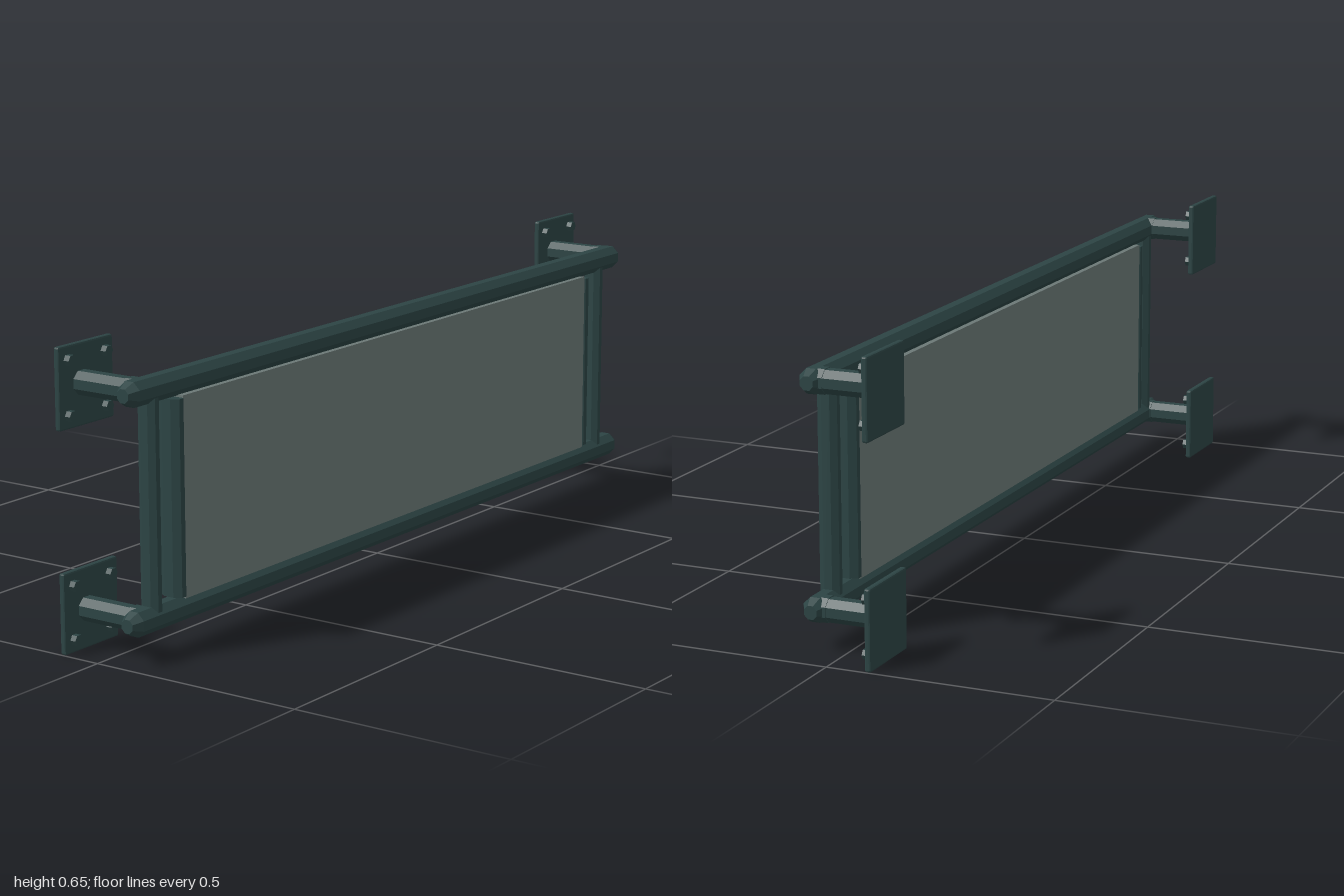
import * as THREE from 'three';
import { RoundedBoxGeometry } from 'three/addons/geometries/RoundedBoxGeometry.js';

const metal = new THREE.MeshStandardMaterial({ color: 0x2c4444, flatShading: true });
const panelMaterial = new THREE.MeshStandardMaterial({ color: 0x6b7876 });

const RAIL_X = 0.068;
const RAIL_YS = [0.0875, 0.5675];

function add(parent, name, geometry, x, y, z, material = metal) {
  const mesh = new THREE.Mesh(geometry, material);
  mesh.name = name;
  mesh.position.set(x, y, z);
  parent.add(mesh);
  return mesh;
}

// Upright eight-sided prism with flats facing the axes, wide by deep across flats
function octagon(wide, height, deep) {
  const g = new THREE.CylinderGeometry(0.5 / Math.cos(Math.PI / 8), 0.5 / Math.cos(Math.PI / 8), height, 8);
  g.rotateY(Math.PI / 8);
  return g.scale(wide, 1, deep);
}

// Eight-sided rail along z with tapered ends
function railGeometry(length, across) {
  const r = across / 2 / Math.cos(Math.PI / 8);
  const h = length / 2;
  const profile = [[0, -h], [r * 0.55, -h], [r, -h + 0.022], [r, h - 0.022], [r * 0.55, h], [0, h]]
    .map(([x, y]) => new THREE.Vector2(x, y));
  const g = new THREE.LatheGeometry(profile, 8);
  g.rotateY(Math.PI / 8);
  return g.rotateX(Math.PI / 2);
}

// Square wall plate with four bolts
function wallPlate(y, z) {
  const plate = new THREE.Group();
  plate.name = 'wallPlate';
  plate.position.set(-0.0925, y, z);
  add(plate, 'plate', new RoundedBoxGeometry(0.014, 0.175, 0.17, 1, 0.004), 0, 0, 0);
  for (const dy of [-1, 1]) {
    for (const dz of [-1, 1]) {
      const bolt = new THREE.CylinderGeometry(0.012, 0.012, 0.016, 6).rotateZ(Math.PI / 2);
      add(plate, 'bolt', bolt, 0.0125, dy * 0.058, dz * 0.058);
    }
  }
  return plate;
}

export function createModel() {
  const model = new THREE.Group();
  model.name = 'railing';

  RAIL_YS.forEach((y, i) => {
    add(model, 'rail', railGeometry(1.92, 0.053), RAIL_X, y, 0.025);

    // Arms and plates holding the rail off the wall
    for (const [armZ, plateZ] of [[0.93, 0.914], [-0.897, -0.914]]) {
      add(model, 'arm', octagon(0.05, 0.14, 0.05).rotateZ(Math.PI / 2), -0.02, y, armZ);
      add(model, 'armCollar', octagon(0.053, 0.03, 0.053).rotateZ(Math.PI / 2), 0.055, y, armZ);
      model.add(wallPlate(i ? 0.563 : 0.0885, plateZ));
    }
  });

  // Thin uprights joining the rails near each end
  for (const z of [0.905, -0.84]) {
    add(model, 'post', octagon(0.045, 0.46, 0.03), RAIL_X, 0.3275, z);
  }

  // Panel with an edge bar at each end
  for (const z of [0.833, -0.764]) {
    add(model, 'panelBar', octagon(0.056, 0.42, 0.032), RAIL_X, 0.3275, z);
  }
  add(model, 'panel', new THREE.BoxGeometry(0.05, 0.43, 1.58), RAIL_X, 0.3275, 0.0345, panelMaterial);

  return model;
}
